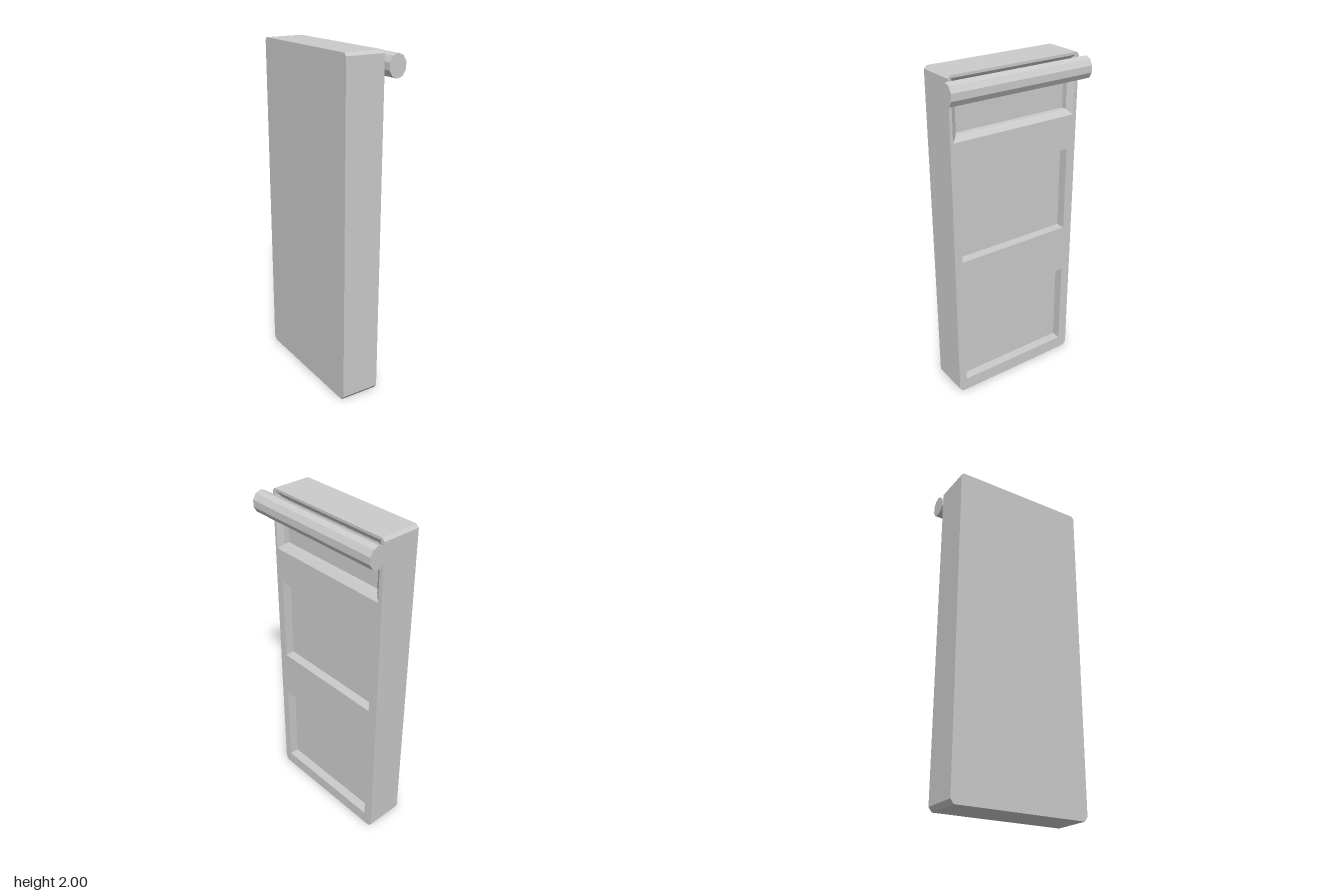
import * as THREE from 'three';
import { mergeGeometries } from 'three/addons/utils/BufferGeometryUtils.js';

const BACK = -0.17, FRONT = 0.065, FLOOR = 0.007, BEVEL = 0.04;
const material = new THREE.MeshStandardMaterial({ color: 0xcccccc, flatShading: true });

// Outlines are counter-clockwise [u, y] points in the plane of the slab, with u = -z.
const rect = (u0, u1, y0, y1) => [[u0, y0], [u1, y0], [u1, y1], [u0, y1]];
const vectors = (ring) => ring.map(([u, y]) => new THREE.Vector2(u, y));

// Flat face at a given x, looking along +x, with optional holes.
function face(ring, x, holes = []) {
  const shape = new THREE.Shape(vectors(ring));
  holes.forEach((h) => shape.holes.push(new THREE.Path(vectors(h))));
  return finish(new THREE.ShapeGeometry(shape).rotateY(Math.PI / 2).translate(x, 0, 0));
}

// Wall strip joining two outlines at different depths.
function wall(ringA, xA, ringB, xB) {
  const pos = [];
  const put = (ring, x, i) => {
    const [u, y] = ring[i % ring.length];
    pos.push(x, y, -u);
  };
  for (let i = 0; i < ringA.length; i++) {
    put(ringA, xA, i); put(ringA, xA, i + 1); put(ringB, xB, i + 1);
    put(ringA, xA, i); put(ringB, xB, i + 1); put(ringB, xB, i);
  }
  const g = new THREE.BufferGeometry();
  g.setAttribute('position', new THREE.Float32BufferAttribute(pos, 3));
  return finish(g);
}

function finish(g) {
  const out = g.index ? g.toNonIndexed() : g;
  out.deleteAttribute('uv');
  out.computeVertexNormals();
  return out;
}

function addMesh(group, name, parts) {
  const mesh = new THREE.Mesh(mergeGeometries(parts), material);
  mesh.name = name;
  group.add(mesh);
}

export function createModel() {
  const group = new THREE.Group();
  group.name = 'panelDoor';

  // Slab outline with clipped corners
  const outline = [
    [-0.385, 0], [0.42, 0], [0.44, 0.026], [0.44, 1.984],
    [0.424, 2], [-0.389, 2], [-0.405, 1.984], [-0.405, 0.026],
  ];
  const lower = rect(-0.355, 0.38, 0.08, 0.62);
  const middle = rect(-0.355, 0.38, 0.92, 1.44);
  const upperOuter = rect(-0.388, 0.415, 1.643, 1.985);
  const upperInner = rect(-0.355, 0.382, 1.675, 1.953);

  // Slab: pierced front, edges and plain back
  const mirrored = outline.map(([u, y]) => [-u, y]).reverse();
  addMesh(group, 'slab', [
    face(outline, FRONT, [lower, middle, upperOuter]),
    wall(outline, BACK, outline, FRONT),
    face(mirrored, -BACK).rotateY(Math.PI),
  ]);

  // Plain recesses
  [['lowerRecess', lower], ['middleRecess', middle]].forEach(([name, ring]) =>
    addMesh(group, name, [wall(ring, FRONT, ring, FLOOR), face(ring, FLOOR)]));

  // Upper recess with a bevelled rim
  addMesh(group, 'upperRecess', [
    wall(upperOuter, FRONT, upperInner, BEVEL),
    wall(upperInner, BEVEL, upperInner, FLOOR),
    face(upperInner, FLOOR),
  ]);

  // Ten-sided bar across the top
  const bar = new THREE.CylinderGeometry(1, 1, 0.9, 10)
    .rotateX(Math.PI / 2).scale(0.0545, 0.065, 1).translate(0.115, 1.922, 0);
  addMesh(group, 'topBar', [finish(bar)]);

  return group;
}
